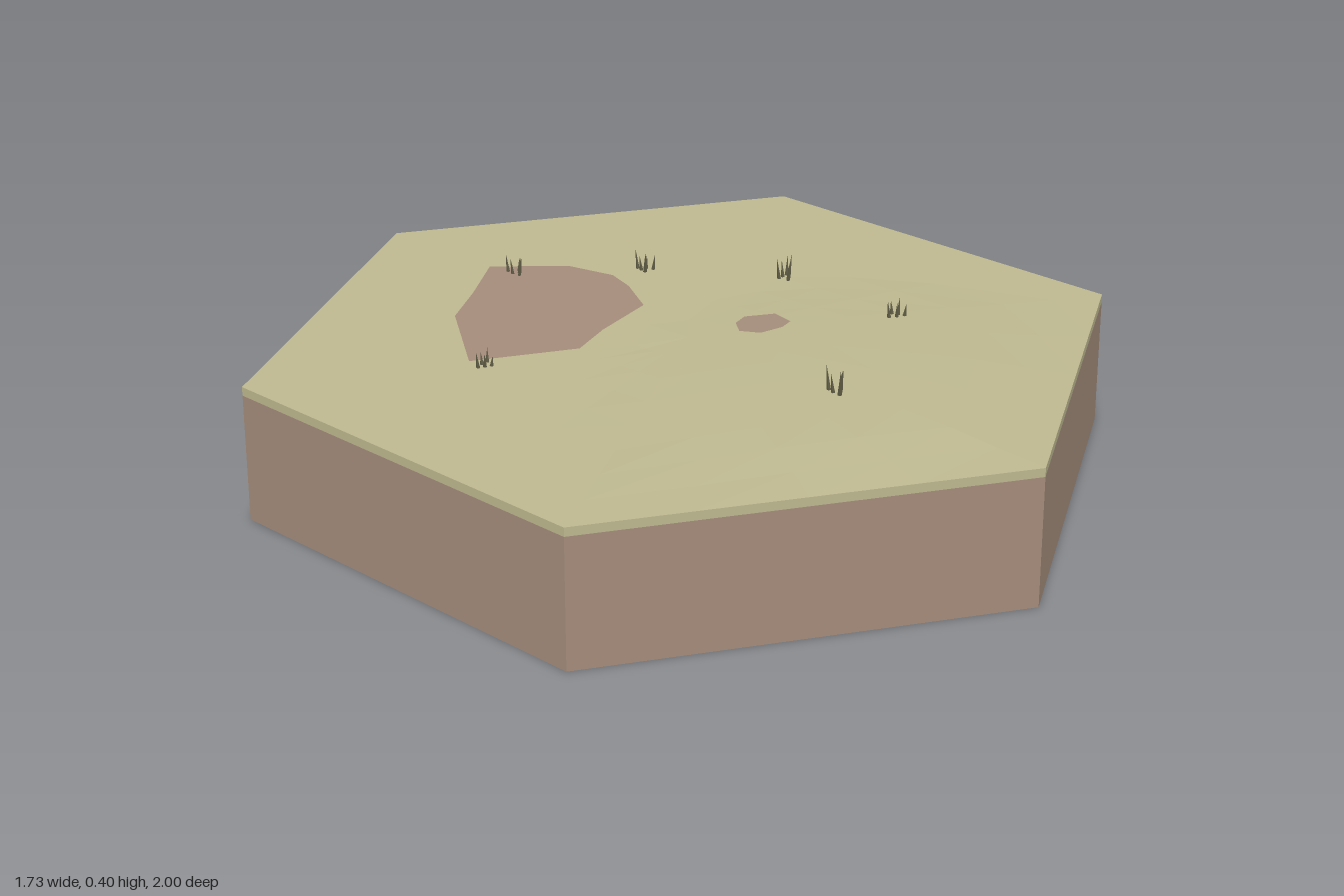
import * as THREE from 'three';

const TOP = 0.315, BAND = 0.295;

// gentle mound on the front-left side, fading to nothing at the rim
function groundHeight(x, z) {
  const d = Math.hypot((x - 0.43) / 0.52, (z - 0.2) / 0.68);
  const rim = Math.max(Math.abs(x), Math.abs(x) / 2 + Math.abs(z) * 0.866) / 0.866;
  const fade = Math.min(1, Math.max(0, (1 - rim) * 5));
  return TOP + (d < 1 ? 0.019 * (1 - d * d) * fade : 0);
}

export function createModel() {
  const group = new THREE.Group();
  const mat = (name, color) => {
    const m = new THREE.MeshStandardMaterial({ color, flatShading: true });
    m.name = name;
    return m;
  };
  const soil = mat('soil', 0xa48c7b);
  const grass = mat('dryGrass', 0xbdb88f);
  const blade = mat('grassBlade', 0x5f5c45);

  const add = (name, geo, material, parent = group) => {
    const mesh = new THREE.Mesh(geo, material);
    mesh.name = name;
    parent.add(mesh);
    return mesh;
  };

  // hexagonal soil block and the thin turf edge above it
  add('soilBlock', new THREE.CylinderGeometry(1, 1, BAND, 6), soil).position.y = BAND / 2;
  add('turfEdge', new THREE.CylinderGeometry(1, 1, TOP - BAND, 6, 1, true), grass)
    .position.y = (TOP + BAND) / 2;

  // turf surface: a disc squeezed to a hexagon and lifted over the mound
  const surface = new THREE.RingGeometry(0, 1, 24, 8, Math.PI / 2);
  surface.rotateX(-Math.PI / 2);
  const p = surface.attributes.position;
  const sector = Math.PI / 3;
  for (let i = 0; i < p.count; i++) {
    const x = p.getX(i), z = p.getZ(i);
    const a = Math.atan2(x, z) + Math.PI * 2 + 1e-6;
    const s = Math.cos(sector / 2) / Math.cos((a % sector) - sector / 2);
    p.setXYZ(i, x * s, groundHeight(x * s, z * s), z * s);
  }
  surface.computeVertexNormals();
  add('turfSurface', surface, grass);

  // bare soil patches, outlines as [x, z]
  const patch = (name, outline) => {
    const shape = new THREE.Shape(outline.map(([x, z]) => new THREE.Vector2(x, -z)));
    const geo = new THREE.ShapeGeometry(shape);
    geo.rotateX(-Math.PI / 2);
    const q = geo.attributes.position;
    for (let i = 0; i < q.count; i++) q.setY(i, groundHeight(q.getX(i), q.getZ(i)) + 0.003);
    geo.computeVertexNormals();
    add(name, geo, soil);
  };
  patch('largeBarePatch', [[-0.57, -0.325], [-0.39, -0.375], [-0.27, -0.34], [-0.215, -0.28],
    [-0.15, -0.17], [-0.2, 0], [-0.22, 0.12], [-0.435, 0.25], [-0.55, 0], [-0.555, -0.15]]);
  patch('smallBarePatch', [[0.095, -0.14], [0.16, -0.17], [0.205, -0.125], [0.195, -0.085],
    [0.155, -0.04], [0.105, -0.045], [0.085, -0.095]]);

  // tufts of thin blades: [x, z, height]
  const tufts = [[-0.495, -0.3, 0.05], [-0.395, 0.26, 0.04], [-0.21, -0.4, 0.055],
    [0.125, -0.43, 0.065], [0.43, -0.225, 0.045], [0.39, 0.26, 0.065]];
  tufts.forEach(([x, z, h], t) => {
    const tuft = new THREE.Group();
    tuft.name = 'grassTuft';
    tuft.position.set(x, groundHeight(x, z) - 0.003, z);
    for (let i = 0; i < 5; i++) {
      const a = t * 1.3 + i * 2.4, r = 0.006 + 0.004 * i;
      const height = h * (1 - 0.11 * ((i + t) % 4));
      const geo = new THREE.ConeGeometry(0.005, height, 4);
      geo.translate(0, height / 2, 0);
      const b = add('grassBlade', geo, blade, tuft);
      b.position.set(Math.cos(a) * r, 0, Math.sin(a) * r);
      b.rotation.set(Math.sin(a) * 0.12, 0, -Math.cos(a) * 0.12);
    }
    group.add(tuft);
  });

  return group;
}
